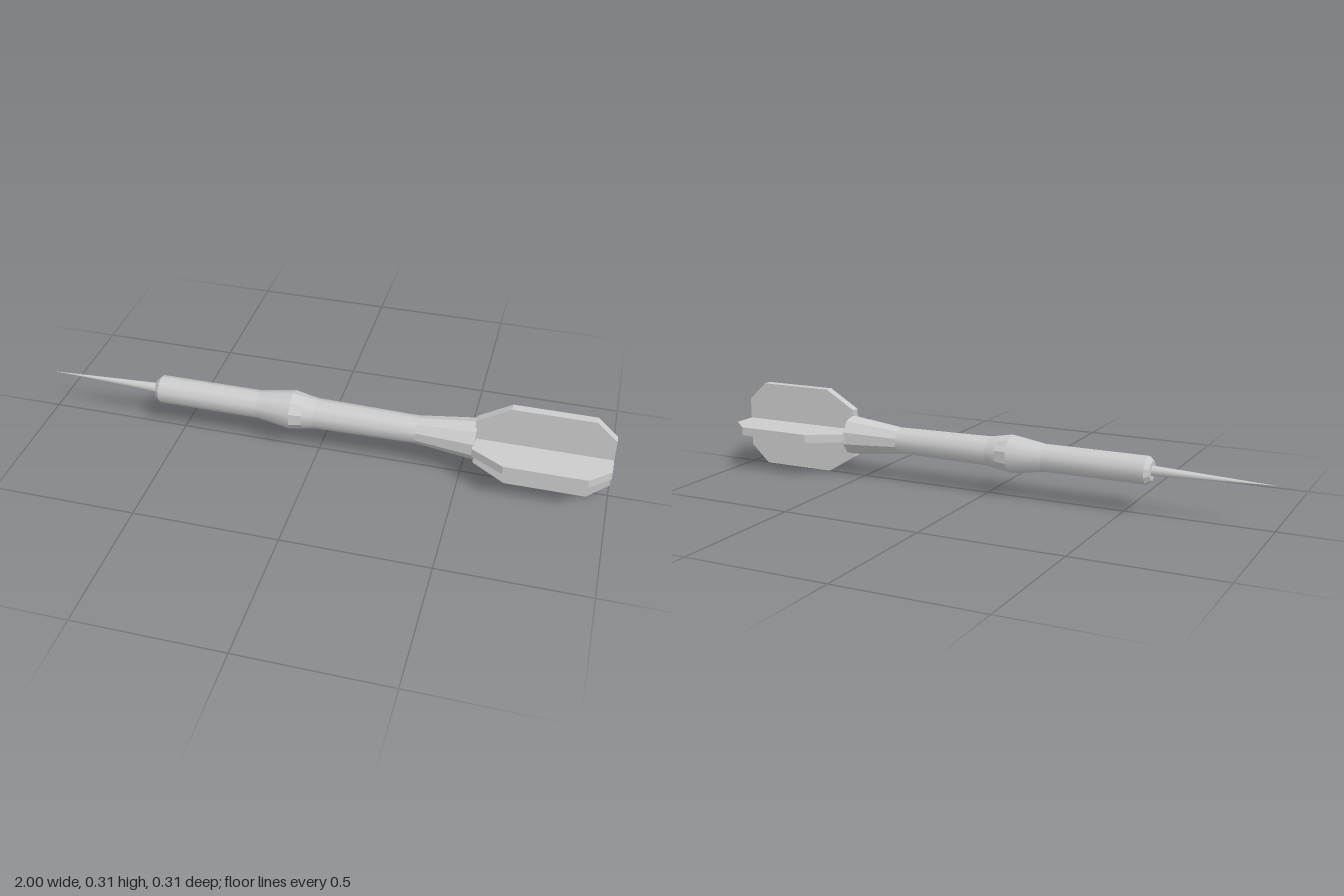
import * as THREE from 'three';

const AXIS_Y = 0.149;
const SIDES = 10;

// Ten-sided turned piece along x; profile is [x, radius] pairs
function turned(name, profile, flatShading = false) {
  const points = profile.map(([x, r]) => new THREE.Vector2(r, x));
  const geometry = new THREE.LatheGeometry(points, SIDES, Math.PI / 2);
  geometry.rotateZ(-Math.PI / 2);
  const mesh = new THREE.Mesh(geometry, new THREE.MeshStandardMaterial({ color: 0xcccccc, flatShading }));
  mesh.name = name;
  mesh.position.y = AXIS_Y;
  return mesh;
}

// Clipped-corner plate, symmetric about its long axis
function finGeometry(thickness) {
  const half = [[0.543, 0.087], [0.655, 0.1535], [0.93, 0.1535], [1, 0.089]];
  const outline = [...half, ...half.map(([x, y]) => [x, -y]).reverse()];
  const shape = new THREE.Shape(outline.map(([x, y]) => new THREE.Vector2(x, y)));
  return new THREE.ExtrudeGeometry(shape, { depth: thickness, bevelEnabled: false });
}

export function createModel() {
  const group = new THREE.Group();
  group.name = 'dart';

  // Needle and front collar of the barrel
  group.add(turned('needlePoint', [[-1, 0], [-0.594, 0.018], [-0.58, 0.018]]));
  group.add(turned('barrelFrontCap', [[-0.594, 0], [-0.594, 0.034]], true));
  group.add(turned('barrelChamfer', [[-0.594, 0.034], [-0.578, 0.049]], true));

  // Barrel with its swollen grip ring
  group.add(turned('barrel', [[-0.578, 0.049], [-0.216, 0.049]]));
  group.add(turned('gripFlare', [[-0.216, 0.049], [-0.094, 0.068]]));
  group.add(turned('gripRing', [[-0.094, 0.068], [-0.05, 0.06]], true));
  group.add(turned('gripTaper', [[-0.05, 0.06], [-0.01, 0.053]]));
  group.add(turned('shaft', [[-0.01, 0.053], [0.345, 0.048]]));

  // Faceted socket holding the fins
  group.add(turned('finSocket', [[0.345, 0.048], [0.548, 0.0715]], true));
  group.add(turned('finSocketEnd', [[0.548, 0.0715], [0.548, 0]], true));

  // Crossed fins, each slightly off the axis
  const thickness = 0.03;
  const material = new THREE.MeshStandardMaterial({ color: 0xcccccc, flatShading: true });
  const verticalFin = new THREE.Mesh(finGeometry(thickness), material);
  verticalFin.name = 'verticalFin';
  verticalFin.position.set(0, 0.1535, -0.004);
  const horizontalFin = new THREE.Mesh(finGeometry(thickness), material);
  horizontalFin.name = 'horizontalFin';
  horizontalFin.rotation.x = -Math.PI / 2;
  horizontalFin.position.y = 0.139;
  group.add(verticalFin, horizontalFin);

  return group;
}
